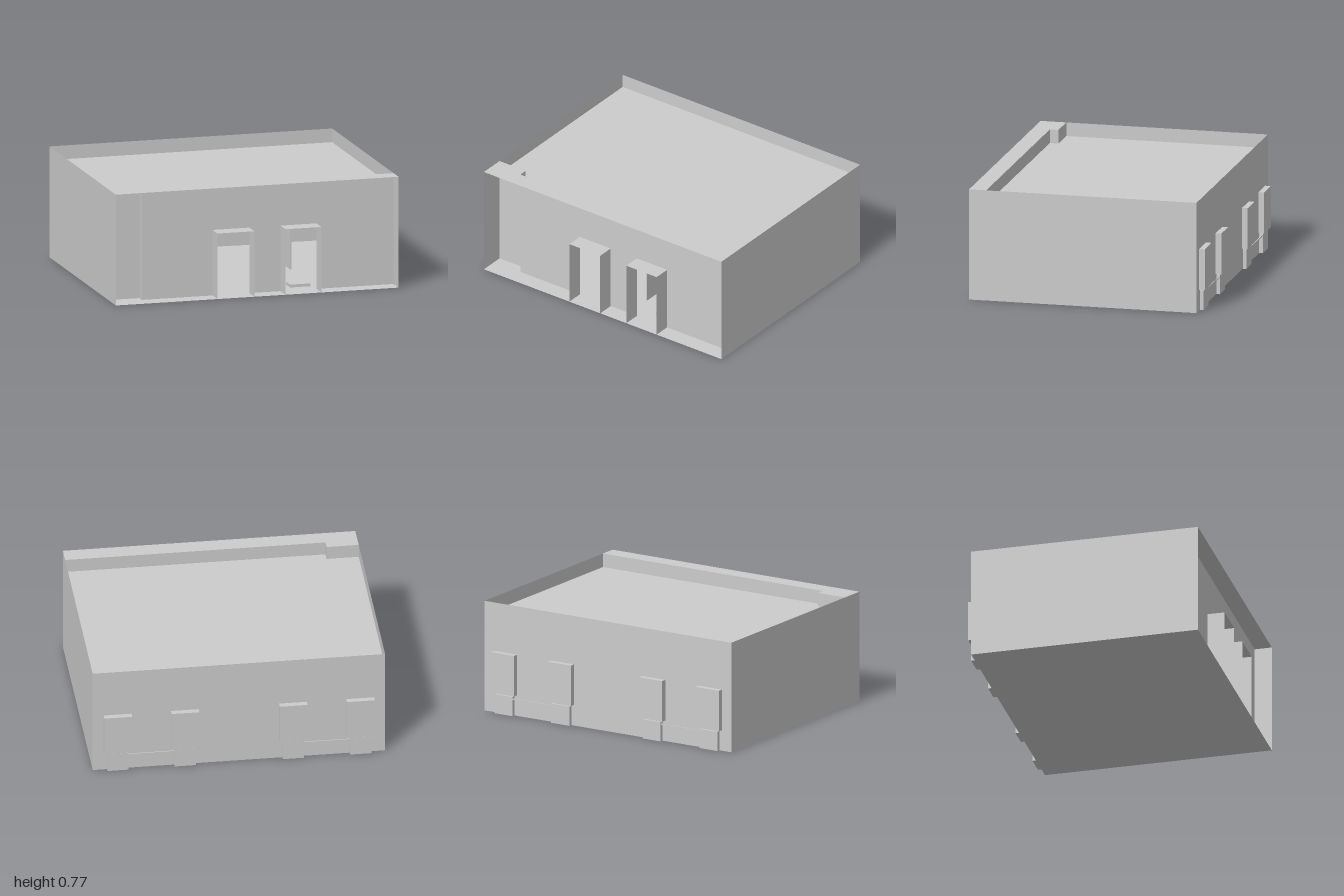
import * as THREE from 'three';

const W = 1, H = 0.77, ROOF = 0.675, BACK = -0.78, FRONT = 0.81;
const INNER = 0.69, STEP_Z = 0.63, STEP_X = -0.78, DOOR_H = 0.455;
const doors = [[-0.28, -0.02], [0.2, 0.455]];

export function createModel() {
  const model = new THREE.Group();
  model.name = 'building';
  const mat = new THREE.MeshStandardMaterial({ color: 0xcccccc, side: THREE.DoubleSide, flatShading: true });

  const add = (name, geo) => {
    const m = new THREE.Mesh(geo, mat);
    m.name = name;
    model.add(m);
    return m;
  };
  const polygon = pts => new THREE.Shape(pts.map(p => new THREE.Vector2(...p)));
  // Upright sheet facing +z
  const wallZ = (name, x0, x1, y0, y1, z) =>
    add(name, new THREE.PlaneGeometry(x1 - x0, y1 - y0).translate((x0 + x1) / 2, (y0 + y1) / 2, z));
  // Upright sheet facing sideways (dir = 1 for +x)
  const wallX = (name, x, y0, y1, z0, z1, dir = 1) =>
    add(name, new THREE.PlaneGeometry(z1 - z0, y1 - y0).rotateY(dir * Math.PI / 2)
      .translate(x, (y0 + y1) / 2, (z0 + z1) / 2));
  // Level sheet from [x, z] corners, facing up
  const level = (name, pts, y) =>
    add(name, new THREE.ShapeGeometry(polygon(pts.map(([x, z]) => [x, -z]))).rotateX(-Math.PI / 2).translate(0, y, 0));
  const box = (name, x0, x1, y0, y1, z0, z1) =>
    add(name, new THREE.BoxGeometry(x1 - x0, y1 - y0, z1 - z0)
      .translate((x0 + x1) / 2, (y0 + y1) / 2, (z0 + z1) / 2));

  // Floor, outer walls and sunken roof
  level('floor', [[-W, FRONT], [W, FRONT], [W, BACK], [-W, BACK]], 0);
  wallX('rightWall', -W, 0, H, BACK, FRONT, -1);
  wallX('leftWall', W, 0, H, BACK, FRONT);
  wallZ('backWall', -W, W, 0, H, BACK).geometry.scale(1, 1, 1);
  level('roof', [[-W, STEP_Z], [STEP_X, STEP_Z], [STEP_X, INNER], [W, INNER], [W, BACK], [-W, BACK]], ROOF);

  // Stepped front wall, set back, with doorways
  const outline = [[STEP_X, 0]];
  doors.forEach(([a, b]) => outline.push([a, 0], [a, DOOR_H], [b, DOOR_H], [b, 0]));
  outline.push([W, 0], [W, H], [STEP_X, H]);
  add('frontWall', new THREE.ShapeGeometry(polygon(outline)).translate(0, 0, INNER));
  wallZ('frontWallStep', -W, STEP_X, 0, H, STEP_Z);
  wallX('frontWallStepSide', STEP_X, 0, H, STEP_Z, INNER);
  level('frontWallTop', [[-W, FRONT], [W, FRONT], [W, INNER], [STEP_X, INNER], [STEP_X, STEP_Z], [-W, STEP_Z]], H);

  // Door surrounds reaching forward from the front wall
  for (const [a, b] of doors) {
    wallX('doorJamb', a, 0, DOOR_H, INNER, FRONT);
    wallX('doorJamb', b, 0, DOOR_H, INNER, FRONT);
    level('doorLintel', [[a, FRONT], [b, FRONT], [b, INNER], [a, INNER]], DOOR_H);
  }

  // Panels, bases and rails on the back, mirrored
  for (const s of [-1, 1]) {
    for (const c of [0.37, 0.83]) {
      const x = s * c;
      box('backPanel', x - 0.095, x + 0.095, 0.145, 0.43, -0.82, BACK + 0.005);
      box('panelBase', x - 0.073, x + 0.073, 0, 0.135, -0.805, BACK + 0.005);
    }
    box('backRail', s * 0.6 - 0.16, s * 0.6 + 0.16, 0.115, 0.123, -0.802, -0.796);
  }

  // Upright panel and low base just inside the second doorway
  box('innerPanel', 0.27, 0.28, 0.145, 0.43, 0.49, 0.68);
  box('innerBase', 0.295, 0.44, 0, 0.02, 0.5, 0.6);
  return model;
}
